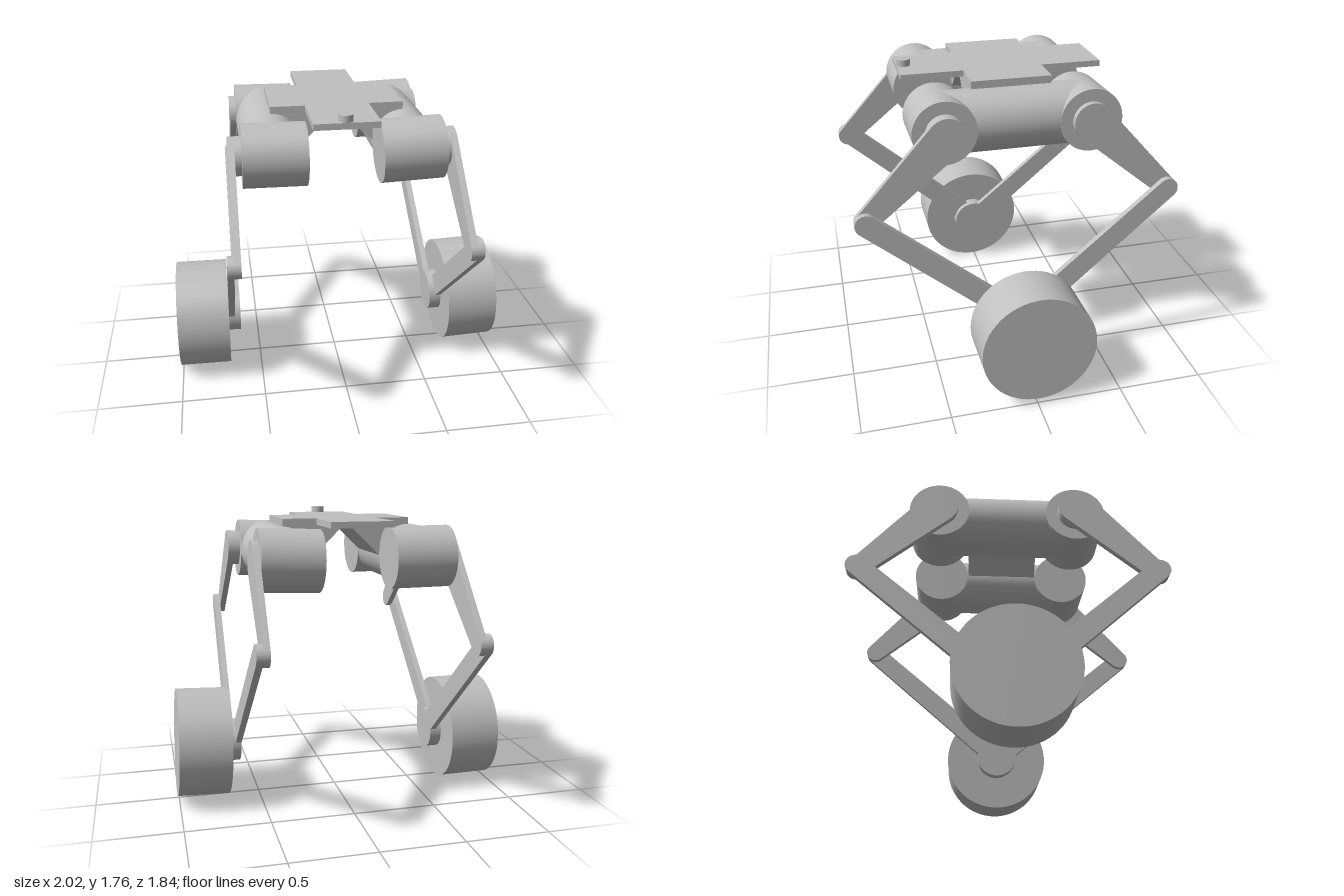
import * as THREE from 'three';
import { toCreasedNormals } from 'three/addons/utils/BufferGeometryUtils.js';

export function createModel() {
  const root = new THREE.Group();
  const grey = new THREE.MeshStandardMaterial({ color: 0xc0c0c0 });
  grey.name = 'light grey';

  const add = (parent, name, geo, x = 0, y = 0, z = 0) => {
    const mesh = new THREE.Mesh(geo, grey);
    mesh.name = name;
    mesh.position.set(x, y, z);
    parent.add(mesh);
    return mesh;
  };

  // Cylinder lying along x
  const axle = (r, w) => new THREE.CylinderGeometry(r, r, w, 64).rotateZ(Math.PI / 2);

  // Flat bar with two rounded ends, drawn in (z, y) and thickened along x
  const link = (z1, y1, r1, z2, y2, r2, w) => {
    const a = Math.atan2(y2 - y1, z2 - z1);
    const b = Math.acos((r1 - r2) / Math.hypot(z2 - z1, y2 - y1));
    const s = new THREE.Shape();
    s.absarc(z1, y1, r1, a + b, a - b + 2 * Math.PI, false);
    s.absarc(z2, y2, r2, a - b, a + b, false);
    const g = new THREE.ExtrudeGeometry(s, { depth: w, bevelEnabled: false, curveSegments: 24 });
    return toCreasedNormals(g.translate(0, 0, -w / 2).rotateY(-Math.PI / 2), 0.6);
  };

  const hipY = 1.517, hipZ = 0.407, hipR = 0.177, T = 0.0365;

  // Each side: two hip motors, a joining tube, a five-bar leg and a wheel
  const sides = [
    { s: 1, name: 'left', x: 0.54, tilt: 0.035, hubZ: -0.008, hubY: 0.358, kneeY: 1.085 },
    { s: -1, name: 'right', x: -0.57, tilt: 0.011, hubZ: 0.018, hubY: 0.333, kneeY: 1.08 },
  ];
  for (const { s, name, x, tilt, hubZ, hubY, kneeY } of sides) {
    const side = new THREE.Group();
    side.name = name + 'Side';
    side.position.set(x, hipY, 0);
    side.rotation.z = s * tilt;
    root.add(side);
    const hy = hubY - hipY, ky = kneeY - hipY;

    add(side, 'bodyTube', new THREE.CylinderGeometry(hipR - 0.001, hipR - 0.001, 2 * hipZ, 64)
      .rotateX(Math.PI / 2), -s * 0.176);

    for (const f of [1, -1]) {
      const end = f > 0 ? 'front' : 'back';
      const layer = f > 0 ? 1 : 0; // the front leg sits one layer further out
      const kneeZ = f * 0.862;
      add(side, end + 'HipMotor', axle(hipR, 0.352), -s * 0.176, 0, f * hipZ);
      if (layer) add(side, 'hipSpacer', axle(0.108, T), s * T / 2, 0, f * hipZ);
      add(side, end + 'UpperLink', link(f * hipZ, 0, 0.108, kneeZ, ky, 0.06, T), s * T * (layer + 0.5));
      add(side, end + 'LowerLink', link(kneeZ, ky, 0.06, hubZ, hy, 0.066, T), s * T * (layer + 1.5));
    }
    add(side, 'wheelHub', axle(0.128, 2 * T), s * 2 * T, hy, hubZ);
    add(side, 'wheel', axle(0.328, 0.31), s * 0.265, hy, hubZ);
  }

  // Cross-shaped top plate
  const mid = -0.017;
  const cross = [[0.18, 0.58], [0.18, 0.227], [0.377, 0.227], [0.377, -0.227], [0.18, -0.227], [0.18, -0.58]];
  const outline = [...cross, ...cross.map(([a, b]) => [-a, -b])].map(p => new THREE.Vector2(...p));
  add(root, 'topPlate', new THREE.ExtrudeGeometry(new THREE.Shape(outline), { depth: 0.035, bevelEnabled: false })
    .rotateX(-Math.PI / 2), mid, 1.695, 0);

  // Slanted brackets between the tubes and the plate
  for (const s of [1, -1]) {
    const wedge = new THREE.Shape([[0.377, 0], [0.01, 0], [0.2, -0.185], [0.377, -0.185]]
      .map(([a, b]) => new THREE.Vector2(s * a, b)));
    add(root, 'bracket', new THREE.ExtrudeGeometry(wedge, { depth: 0.45, bevelEnabled: false }), mid, 1.696, -0.225);
  }

  // Small button at the front of the plate
  add(root, 'button', new THREE.CylinderGeometry(0.04, 0.04, 0.04, 32), -0.02, 1.748, 0.54);

  return root;
}
